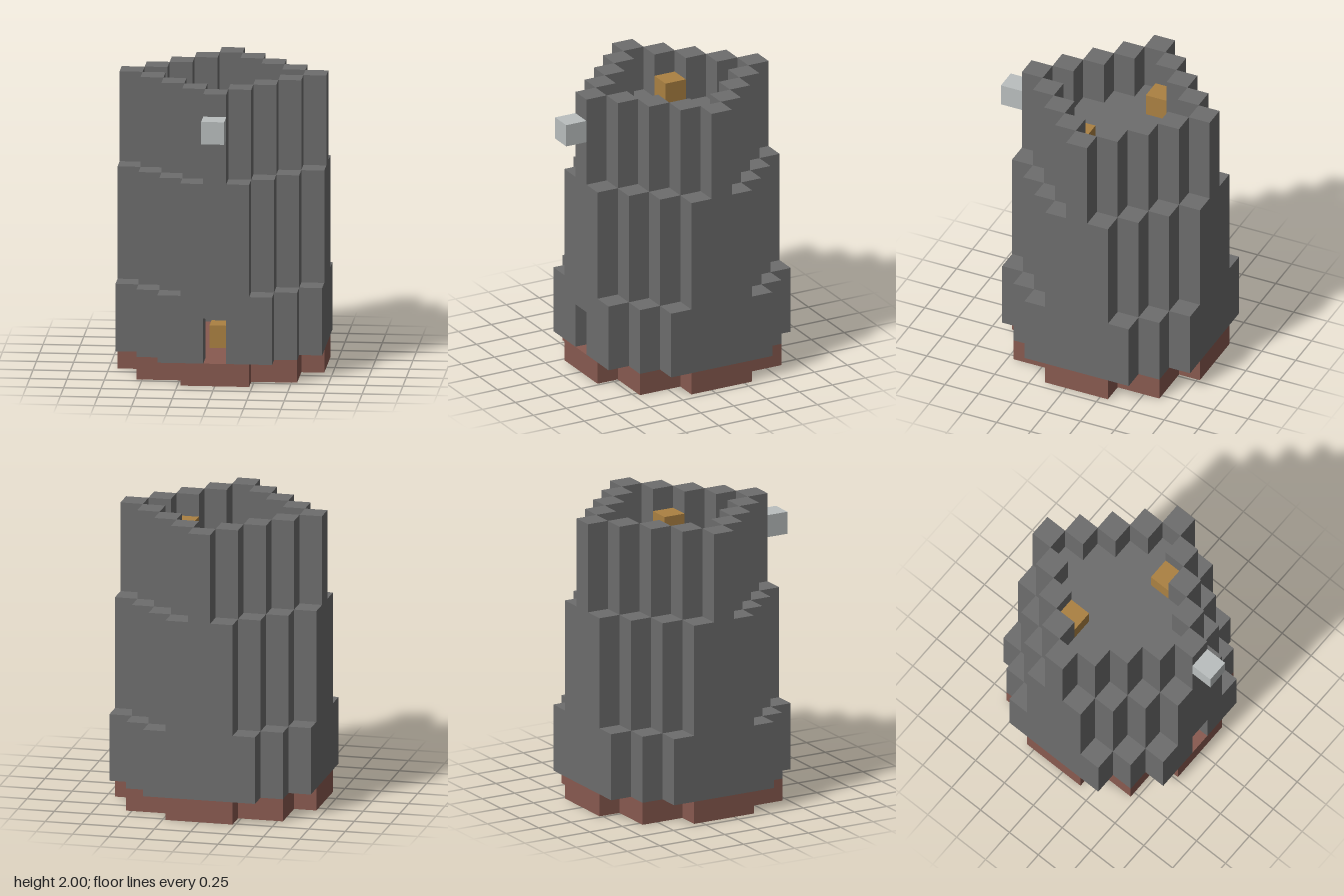
import * as THREE from 'three';
import { mergeGeometries } from 'three/addons/utils/BufferGeometryUtils.js';

const U = 2 / 13; // edge of one block
const R = 4; // tower radius in blocks

const SIDES = [[1, 0, 0], [-1, 0, 0], [0, 1, 0], [0, -1, 0], [0, 0, 1], [0, 0, -1]];
const key = (x, y, z) => `${x},${y},${z}`;

// One outward-facing square for a side of a block
function blockFace(cell, dir) {
  const turn = new THREE.Quaternion().setFromUnitVectors(
    new THREE.Vector3(0, 0, 1), new THREE.Vector3(...dir));
  if (dir[2] === -1) turn.setFromAxisAngle(new THREE.Vector3(0, 1, 0), Math.PI);
  return new THREE.PlaneGeometry(U, U).applyQuaternion(turn).translate(
    (cell[0] + dir[0] / 2) * U,
    (cell[1] + 0.5 + dir[1] / 2) * U,
    (cell[2] - 0.5 + dir[2] / 2) * U);
}

// Cells of the octagonal plan that satisfy a rule, over a range of layers
function layerCells(y0, y1, rule) {
  const cells = [];
  for (let y = y0; y <= y1; y++)
    for (let x = -R; x <= R; x++)
      for (let z = -R; z <= R; z++)
        if (rule(Math.abs(x), Math.abs(z), x, y, z)) cells.push([x, y, z]);
  return cells;
}

// One-block-thick wall around an octagon; n sets how far the corners are cut
const ring = (n) => (ax, az) =>
  ax + az === n || (ax + az < n && Math.max(ax, az) === R);

export function createModel() {
  const stone = new THREE.MeshStandardMaterial({ color: 0x6d6d6d });
  stone.name = 'grey stone';
  const brick = new THREE.MeshStandardMaterial({ color: 0x885a50 });
  brick.name = 'red brown brick';
  const amber = new THREE.MeshStandardMaterial({ color: 0xab8142 });
  amber.name = 'amber';
  const pale = new THREE.MeshStandardMaterial({ color: 0xbabfbf });
  pale.name = 'pale grey';

  const isDoor = (x, y, z) => x === 0 && z === R && y <= 2;
  const parts = [
    // Round foundation with a stone block in its middle
    ['foundation', brick, layerCells(0, 0, (ax, az) =>
      ax + az > 0 && ((ax <= 3 && az <= 3) || Math.min(ax, az) <= 1))],
    ['centralPillar', stone, layerCells(0, 9, (ax, az) => ax + az === 0)],
    // Three stepped wall tiers, the lowest with a doorway
    ['lowerWall', stone, layerCells(1, 3, (ax, az, x, y, z) =>
      ring(6)(ax, az) && !isDoor(x, y, z))],
    ['middleWall', stone, layerCells(4, 8, ring(5))],
    ['upperWall', stone, layerCells(9, 12, ring(4))],
    // Roof deck inside the parapet
    ['roofDeck', stone, layerCells(10, 10, (ax, az) => ax + az < 4)],
    // Amber blocks on the deck and behind the doorway
    ['deckBlockLeft', amber, [[2, 11, 1]]],
    ['deckBlockRight', amber, [[-2, 11, -1]]],
    ['doorwayBlock', amber, [[0, 1, 1]]],
    // Pale block hung on the front of the parapet
    ['frontBlock', pale, [[0, 11, 5]]],
  ];

  const filled = new Set(parts.flatMap((p) => p[2].map((c) => key(...c))));
  const model = new THREE.Group();
  model.name = 'tower';
  for (const [name, material, cells] of parts) {
    // Keep only the sides that are not covered by another block
    const faces = cells.flatMap((c) => SIDES
      .filter((d) => !filled.has(key(c[0] + d[0], c[1] + d[1], c[2] + d[2])))
      .map((d) => blockFace(c, d)));
    const mesh = new THREE.Mesh(mergeGeometries(faces), material);
    mesh.name = name;
    model.add(mesh);
  }
  return model;
}
